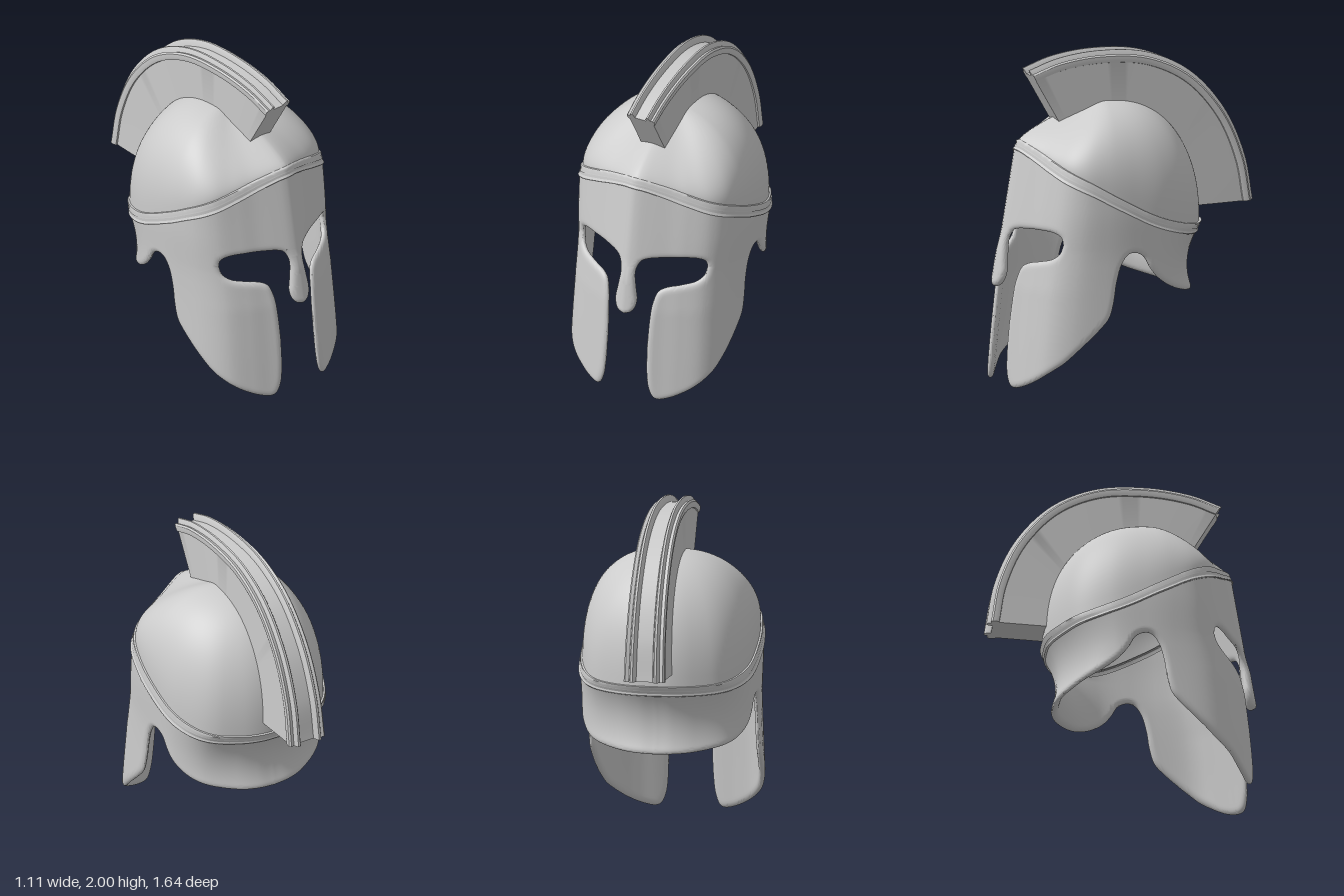
import * as THREE from 'three';
import { mergeGeometries, mergeVertices, toCreasedNormals } from 'three/addons/utils/BufferGeometryUtils.js';

const { lerp, smoothstep, clamp } = THREE.MathUtils;
const material = new THREE.MeshStandardMaterial({ color: 0xcccccc, side: THREE.DoubleSide });

// smooth curve through 2D points, sampled to a polyline
const sample = (pts, n = 100) =>
  new THREE.CatmullRomCurve3(pts.map(([a, b]) => new THREE.Vector3(a, b, 0))).getSpacedPoints(n);

// read a polyline as a function b(a)
const lookup = (line) => (a) => {
  for (let i = 1; i < line.length; i++) {
    const p = line[i - 1], q = line[i];
    if (a <= q.x) return q.x - p.x < 1e-6 ? q.y : lerp(p.y, q.y, clamp((a - p.x) / (q.x - p.x), 0, 1));
  }
  return line[line.length - 1].y;
};

// half plan of the helmet, from the front keel round the left side to the back
const plan = new THREE.CatmullRomCurve3([
  [0, 0.752], [0.03, 0.744], [0.1, 0.71], [0.2, 0.655], [0.3, 0.605], [0.41, 0.53], [0.472, 0.43], [0.505, 0.27],
  [0.51, 0.1], [0.485, -0.1], [0.395, -0.27], [0.22, -0.385], [0.1, -0.424], [0, -0.43],
].map(([x, z]) => new THREE.Vector3(x, 0, z)));
plan.arcLengthDivisions = 400;
const L = plan.getLength();

// helmet surface at arc length s and height y, moved out by off
function surf(s, y, off = 0) {
  const u = clamp(s / L, 0, 1);
  const p = plan.getPointAt(u), t = plan.getTangentAt(u);
  const nx = -t.z * clamp(s / 0.03, 0, 1) * clamp((L - s) / 0.03, 0, 1);
  const n = new THREE.Vector2(nx, t.x).normalize();
  const front = y > 0.85 ? smoothstep(p.z, 0.15, 0.75) : smoothstep(p.z, 0, 0.55);
  const back = 1 - smoothstep(p.z, -0.4, 0.1);
  const lean = 0.17 * (0.85 - Math.max(y, 0.6)) + 0.1 * Math.max(0, 0.6 - y);
  const z = p.z + lean * front + back * (0.06 - Math.min(0.1, 1.4 * (y - 0.69) ** 2));
  const x = p.x * (1 + 0.025 * smoothstep(y, 0.75, 1.1) + 0.02 * (1 - smoothstep(y, 0.2, 0.7)));
  return [x + n.x * off, y, z + n.y * off];
}

// quad grid from fn(i, j)
function grid(nu, nv, fn, flip = false) {
  const pos = [], idx = [];
  for (let i = 0; i <= nu; i++) for (let j = 0; j <= nv; j++) pos.push(...fn(i, j));
  for (let i = 0; i < nu; i++) for (let j = 0; j < nv; j++) {
    const a = i * (nv + 1) + j, b = a + nv + 1;
    if (flip) idx.push(a, b + 1, b, a, a + 1, b + 1);
    else idx.push(a, b, b + 1, a, b + 1, a + 1);
  }
  const g = new THREE.BufferGeometry();
  g.setAttribute('position', new THREE.Float32BufferAttribute(pos, 3));
  g.setIndex(idx);
  return g;
}

// the same grid on both sides of the helmet
const mirrored = (nu, nv, fn, flip = false) => [
  grid(nu, nv, fn, flip),
  grid(nu, nv, (i, j) => { const [x, y, z] = fn(i, j); return [-x, y, z]; }, !flip),
];

function part(name, geometries, crease = 0.7) {
  const mesh = new THREE.Mesh(toCreasedNormals(mergeVertices(mergeGeometries(geometries), 1e-4), crease), material);
  mesh.name = name;
  return mesh;
}

// edges of the wall, as (arc length, height)
const eyeEnd = 0.48, eyeY = 0.885;
const cheekLow = sample([[0.146, 0.38], [0.15, 0.2], [0.165, 0.08], [0.195, 0.015], [0.226, 0], [0.3, 0.015],
  [0.4, 0.06], [eyeEnd, 0.11]]);
const cheekHigh = sample([[0.146, 0.38], [0.155, 0.55], [0.168, 0.66], [0.195, 0.73], [0.24, 0.755],
  [0.34, 0.775], [0.42, 0.795], [0.465, 0.83], [eyeEnd, eyeY]]);
const browLow = sample([[0.13, 0.955], [0.3, 0.96], [0.42, 0.95], [0.465, 0.925], [eyeEnd, eyeY]]);
const sideLow = sample([[eyeEnd, 0.11], [0.56, 0.17], [0.62, 0.235], [0.69, 0.315], [0.74, 0.375], [0.785, 0.44],
  [0.81, 0.55], [0.82, 0.65], [0.845, 0.76], [0.885, 0.82], [0.93, 0.83], [0.985, 0.805], [1.03, 0.74],
  [1.1, 0.67], [1.25, 0.595], [1.5, 0.545], [L, 0.53]], 150);
const noseSide = sample([[0, 0.59], [0.035, 0.6], [0.06, 0.63], [0.071, 0.68], [0.06, 0.75], [0.046, 0.85],
  [0.054, 0.9], [0.08, 0.94], [0.13, 0.955]], 50);
const edges = [cheekLow, cheekHigh, browLow, sideLow, noseSide];

// lower and upper edge of the band
const bandLow = lookup(sample([[0, 1.42], [0.05, 1.41], [0.226, 1.345], [0.36, 1.295], [0.5, 1.24], [0.66, 1.175],
  [0.83, 1.09], [1.11, 0.955], [1.36, 0.905], [L, 0.895]]));
const bandHigh = lookup(sample([[0, 1.475], [0.05, 1.465], [0.226, 1.41], [0.36, 1.365], [0.5, 1.315], [0.66, 1.25],
  [0.83, 1.165], [1.11, 1.025], [1.36, 0.965], [L, 0.955]]));

// half thickness of the wall, rounded off towards its free edges
function halfThickness(s, y) {
  let d = 0.035;
  for (const line of edges) for (let i = 1; i < line.length; i++) {
    const p = line[i - 1], ex = line[i].x - p.x, ey = line[i].y - p.y;
    const k = clamp(((s - p.x) * ex + (y - p.y) * ey) / (ex * ex + ey * ey || 1), 0, 1);
    d = Math.min(d, Math.hypot(s - p.x - k * ex, y - p.y - k * ey));
  }
  const nose = s < 0.13 ? 0.012 * (1 - smoothstep(y, 0.8, 0.95)) : 0;
  return (0.02 + nose) * Math.sqrt(1 - (1 - d / 0.035) ** 2);
}

// outer and inner skin of a wall patch, map(i, j) gives [s, y]
function shell(nu, nv, map) {
  const skin = (k) => (i, j) => { const [s, y] = map(i, j); return surf(s, y, k * halfThickness(s, y)); };
  return [...mirrored(nu, nv, skin(1)), ...mirrored(nu, nv, skin(-1), true)];
}

// cheeks, brow, sides with neck, and nose; rows line up where patches meet
function wall() {
  const ease = (t) => (1 - Math.cos(Math.PI * t)) / 2;
  const top = (s) => (bandLow(s) + bandHigh(s)) / 2;
  const low = lookup(cheekLow), high = lookup(cheekHigh), brow = lookup(browLow);
  const cheek = shell(48, 32, (i, j) => {
    const s = lerp(0.146, eyeEnd, ease(i / 48));
    return [s, lerp(low(s), high(s), ease(j / 32))];
  });
  const browPatch = shell(48, 16, (i, j) => {
    const s = eyeEnd * Math.sin(i / 48 * Math.PI / 2);
    return [s, lerp(s < 0.13 ? 0.955 : brow(s), top(s), (j / 16) ** 2)];
  });
  const sideLower = shell(150, 32, (i, j) => [sideLow[i].x, lerp(sideLow[i].y, eyeY, ease(j / 32))]);
  const sideUpper = shell(150, 16, (i, j) => [sideLow[i].x, lerp(eyeY, top(sideLow[i].x), (j / 16) ** 2)]);
  const nose = shell(10, 50, (i, j) => [noseSide[j].x * Math.sin(i / 10 * Math.PI / 2), noseSide[j].y]);
  return part('faceAndNeckGuard', [...cheek, ...browPatch, ...sideLower, ...sideUpper, ...nose], 0.9);
}

// raised band with a lip on both edges: [offset, height fraction]
function band() {
  const section = [[-0.01, 0], [0.026, -0.03], [0.029, 0.05], [0.02, 0.25], [0.014, 0.6], [0.016, 0.9],
    [0.013, 1.0], [-0.01, 1.06]];
  return part('browBand', mirrored(90, section.length - 1, (i, j) => {
    const s = L * i / 90, [off, v] = section[j];
    return surf(s, lerp(bandLow(s), bandHigh(s), v), off);
  }), 0.9);
}

// bowl lofted from the band up to the crown
function dome() {
  const crown = 1.7, cz = 0.1;
  return part('dome', mirrored(80, 32, (i, j) => {
    const s = L * i / 80, r = Math.sin((1 - j / 32) * Math.PI / 2);
    const [x, y, z] = surf(s, bandHigh(s) - 0.005, 0.003);
    const angle = Math.atan2(x, z - cz), c = Math.cos(angle);
    const round = lerp(0.54, 0.505, smoothstep(c, -0.6, 0.4));
    const reach = lerp(round, Math.hypot(x, z - cz), r ** 3) * r;
    const p = lerp(2.4, 1.38, smoothstep(c, 0.2, 1));
    const h = Math.pow(Math.max(0, 1 - Math.pow(r, p)), 1 / p);
    return [reach * Math.sin(angle), lerp(y, crown, h), cz + reach * c];
  }), 1);
}

// crest swept over the dome, with a channel, two ridges and side flanges
function crest() {
  const path = (pts) => new THREE.CatmullRomCurve3(pts.map(([z, y]) => new THREE.Vector3(0, y, z)));
  const outer = path([[0.605, 1.9], [0.42, 1.965], [0.15, 2], [-0.15, 1.975], [-0.42, 1.85], [-0.64, 1.61],
    [-0.77, 1.32], [-0.82, 1.045]]);
  const inner = path([[0.42, 1.58], [0.3, 1.6], [0.12, 1.6], [-0.08, 1.57], [-0.24, 1.47], [-0.36, 1.32],
    [-0.42, 1.18], [-0.44, 1.03]]);
  // [width fraction, depth below the outer curve]
  const half = [[0.4, 0.04], [0.46, 0.012], [0.53, 0], [0.64, 0], [0.7, 0.012], [0.75, 0.03], [0.92, 0.024],
    [1, 0.035], [1, 0.06], [0.96, 0.073], [0.88, 0.075], [0.88, null]];
  const ring = [...half, ...half.map(([x, d]) => [-x, d]).reverse()];
  const n = 70;
  const at = (i, j) => {
    const t = j / n, [fx, d] = ring[i % ring.length];
    const o = outer.getPoint(t), b = inner.getPoint(t), w = lerp(0.092, 0.125, t);
    const p = o.clone().lerp(b, d === null ? 1 : d / o.distanceTo(b));
    return [fx * w, p.y, p.z];
  };
  const flat = ring.map(([x, d]) => new THREE.Vector2(x * 0.1, d === null ? -0.35 : -d)).reverse();
  const tris = THREE.ShapeUtils.triangulateShape(flat, []);
  const cap = (j, flip) => {
    const g = new THREE.BufferGeometry();
    const pos = ring.map((_, i) => at(i, j)).reverse().flat();
    g.setAttribute('position', new THREE.Float32BufferAttribute(pos, 3));
    g.setIndex(tris.flatMap(([a, b, c]) => (flip ? [a, c, b] : [a, b, c])));
    return g;
  };
  return part('crest', [grid(ring.length, n, at), cap(0, false), cap(n, true)], 0.5);
}

export function createModel() {
  const model = new THREE.Group();
  model.name = 'crestedHelmet';
  model.add(wall(), band(), dome(), crest());
  return model;
}
